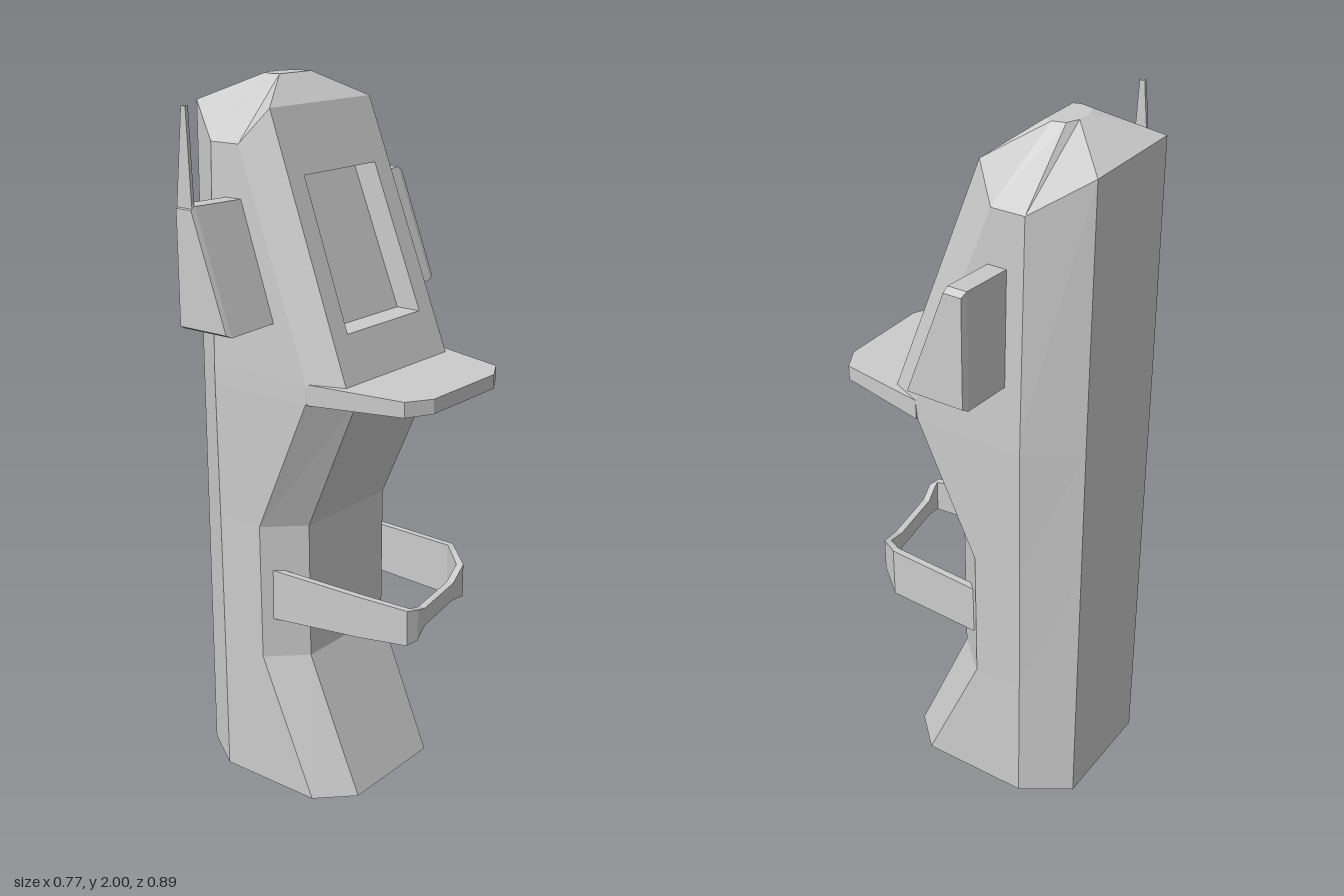
import * as THREE from 'three';

const material = new THREE.MeshStandardMaterial({ color: 0xcccccc, flatShading: true });

// Joins rings of points (counter-clockwise seen from the advancing end) into a faceted skin.
function loft(rings, { start = true, end = true, skip = () => false } = {}) {
  const pos = [];
  const tri = (a, b, c) => pos.push(...a, ...b, ...c);
  const n = rings[0].length;
  for (let k = 0; k < rings.length - 1; k++) {
    const a = rings[k], b = rings[k + 1];
    for (let i = 0; i < n; i++) {
      if (skip(k, i)) continue;
      const j = (i + 1) % n;
      tri(a[i], a[j], b[j]);
      tri(a[i], b[j], b[i]);
    }
  }
  const first = rings[0], last = rings[rings.length - 1];
  for (let i = 1; i < n - 1; i++) {
    if (start) tri(first[0], first[i + 1], first[i]);
    if (end) tri(last[0], last[i], last[i + 1]);
  }
  const g = new THREE.BufferGeometry();
  g.setAttribute('position', new THREE.Float32BufferAttribute(pos, 3));
  g.computeVertexNormals();
  return g;
}

// Mirrors a half outline [x, y, z] (front to back) into a full ring.
const mirrorRing = (half) => [
  half[0],
  ...half.map(([x, y, z]) => [x, y, -z]),
  ...half.slice(1).reverse(),
];

// Extrudes a flat xy outline along z through [z, scale] steps, scaled about its middle.
function slab(outline, steps) {
  const cx = outline.reduce((s, p) => s + p[0], 0) / outline.length;
  const cy = outline.reduce((s, p) => s + p[1], 0) / outline.length;
  return loft(steps.map(([z, s, dy = 0]) =>
    outline.map(([x, y]) => [cx + (x - cx) * s, cy + (y - cy) * s + dy, z])));
}

export function createModel() {
  const model = new THREE.Group();
  const add = (name, geometry) => {
    const mesh = new THREE.Mesh(geometry, material);
    mesh.name = name;
    model.add(mesh);
  };

  // Body: eight-sided column, [height, front x, front z, side x, side z]
  const levels = [
    [0, 0.165, 0.165, 0.07, 0.258],
    [0.4, -0.005, 0.167, -0.105, 0.26],
    [0.8, -0.005, 0.17, -0.105, 0.264],
    [1.19, 0.165, 0.175, 0.07, 0.27],
    [1.24, 0.17, 0.225, 0.075, 0.27],
  ];
  const rings = levels.map(([y, fx, fz, sx, sz]) =>
    mirrorRing([[fx, y, fz], [sx, y, sz], [-0.25, y, sz], [-0.385, y, 0.17]]));
  // Crown rim and small flat top
  rings.push(mirrorRing([
    [-0.09, 1.93, 0.208], [-0.155, 1.84, 0.258], [-0.25, 1.84, 0.258], [-0.385, 1.93, 0.165],
  ]));
  rings.push(mirrorRing([
    [-0.178, 2, 0.065], [-0.2, 2, 0.07], [-0.235, 2, 0.06], [-0.25, 2, 0.025],
  ]));
  add('body', loft(rings, { skip: (k, i) => k === 4 && i === 0 }));

  // Sloping face with a recessed window
  const facePanel = (x0, y0, z0, x1, y1, z1) =>
    [[x0, y0, z0], [x0, y0, -z0], [x1, y1, -z1], [x1, y1, z1]];
  add('windowPanel', loft([
    facePanel(0.17, 1.24, 0.225, -0.09, 1.93, 0.208),
    facePanel(0.123, 1.365, 0.16, -0.026, 1.76, 0.15),
    facePanel(0.048, 1.365, 0.16, -0.101, 1.76, 0.15),
  ], { start: false }));

  // Brim under the window
  const brim = [[0.385, 0.14], [0.345, 0.212], [0.075, 0.27], [0.05, 0.2]];
  add('brim', loft([
    mirrorRing(brim.map(([x, z]) => [x, 1.187 + x * 0.02, z])),
    mirrorRing(brim.map(([x, z]) => [x, 1.248 - x * 0.035, z])),
  ]));

  // Side wedges, the left one carrying a thin aerial
  const wedge = [[-0.202, 1.385], [-0.035, 1.385], [-0.148, 1.705], [-0.202, 1.705]];
  add('leftWedge', slab(wedge, [[0.24, 0.97], [0.43, 1], [0.445, 0.95]]));
  const rightWedge = wedge.map(([x, y]) => [x === -0.035 ? -0.025 : x, y]);
  add('rightWedge', slab(rightWedge, [[-0.443, 0.93], [-0.425, 1], [-0.24, 1, -0.012]]));
  add('aerial', slab(
    [[-0.2, 1.68], [-0.145, 1.68], [-0.15, 1.71], [-0.16, 1.95], [-0.175, 1.95], [-0.2, 1.71]],
    [[0.43, 1], [0.44, 1]]));

  // Looped handle: outer path [x, z, half height], wide at the sides, narrow in the middle
  const path = [
    [-0.09, 0.24, 0.075], [0.2, 0.205, 0.06], [0.34, 0.18, 0.051], [0.35, 0.145, 0.045],
    [0.335, 0.09, 0.026], [0.305, -0.09, 0.026], [0.285, -0.17, 0.05],
    [0.21, -0.225, 0.077], [-0.09, -0.24, 0.075],
  ];
  const handle = path.map(([x, z, h], i) => {
    const a = path[Math.max(i - 1, 0)], b = path[Math.min(i + 1, path.length - 1)];
    const t = new THREE.Vector2(b[0] - a[0], b[1] - a[1]).normalize().multiplyScalar(0.02);
    const ix = x + t.y, iz = z - t.x, y = 0.593;
    return [[x, y - h, z], [ix, y - h, iz], [ix, y + h, iz], [x, y + h, z]];
  });
  add('handle', loft(handle));

  return model;
}
